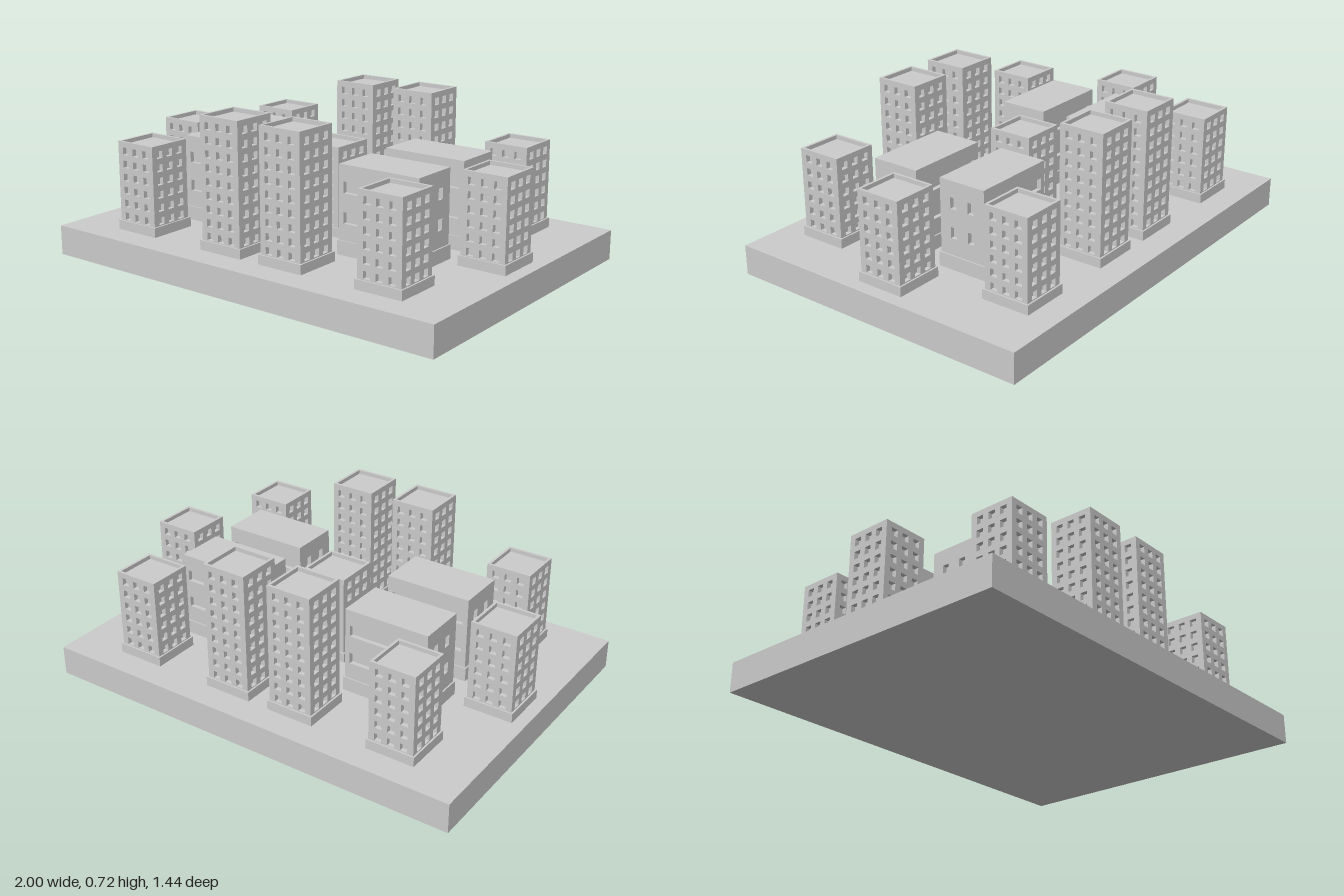
import * as THREE from 'three';

const material = new THREE.MeshStandardMaterial({ color: 0xcccccc, flatShading: true });
const GROUND = 0.135;

function add(parent, name, geometry, x = 0, y = 0, z = 0) {
  const mesh = new THREE.Mesh(geometry, material);
  mesh.name = name;
  mesh.position.set(x, y, z);
  parent.add(mesh);
  return mesh;
}

// box standing on height y0
function addBox(parent, name, w, y0, y1, d) {
  return add(parent, name, new THREE.BoxGeometry(w, y1 - y0, d), 0, (y0 + y1) / 2, 0);
}

function rectPath(Type, cx, cy, w, h) {
  const p = new Type();
  p.moveTo(cx - w / 2, cy - h / 2);
  p.lineTo(cx + w / 2, cy - h / 2);
  p.lineTo(cx + w / 2, cy + h / 2);
  p.lineTo(cx - w / 2, cy + h / 2);
  p.closePath();
  return p;
}

// wall panel with rectangular openings [cx, cy, w, h]; its outer face is at z = 0
function wallGeometry(width, y0, y1, openings, thickness) {
  const shape = rectPath(THREE.Shape, 0, (y0 + y1) / 2, width, y1 - y0);
  shape.holes = openings.map((o) => rectPath(THREE.Path, ...o));
  return new THREE.ExtrudeGeometry(shape, { depth: thickness, bevelEnabled: false })
    .translate(0, 0, -thickness);
}

// solid core wrapped in four pierced walls, giving recessed windows
function addWalls(parent, w, d, y0, y1, frontOpenings, sideOpenings, t) {
  addBox(parent, 'core', w - 2 * t, y0, y1, d - 2 * t);
  const front = wallGeometry(w, y0, y1, frontOpenings, t);
  const side = wallGeometry(d - 2 * t, y0, y1, sideOpenings, t);
  add(parent, 'frontWall', front, 0, 0, d / 2);
  add(parent, 'backWall', front, 0, 0, -d / 2).rotation.y = Math.PI;
  add(parent, 'leftWall', side, w / 2, 0, 0).rotation.y = Math.PI / 2;
  add(parent, 'rightWall', side, -w / 2, 0, 0).rotation.y = -Math.PI / 2;
}

// square tower with a window grid and a parapet round the roof
function createTower(floors) {
  const tower = new THREE.Group();
  const size = 0.208, base = 0.178, pitch = 0.06;
  const top = base + floors * pitch;
  const roof = top - 0.018;
  const windows = [];
  for (let row = 0; row < floors; row++) {
    for (const col of [-1, 0, 1]) windows.push([col * pitch, 0.199 + row * 0.0595, 0.033, 0.033]);
  }
  addBox(tower, 'plinth', 0.224, GROUND, base, 0.224);
  addWalls(tower, size, size, base, roof, windows, windows, 0.02);
  const ring = rectPath(THREE.Shape, 0, 0, size, size);
  ring.holes = [rectPath(THREE.Path, 0, 0, size - 0.024, size - 0.024)];
  const parapet = new THREE.ExtrudeGeometry(ring, { depth: top - roof, bevelEnabled: false });
  add(tower, 'parapet', parapet.rotateX(-Math.PI / 2), 0, roof, 0);
  return tower;
}

// long low block with ribbon windows front and back, small windows at the ends
function createBlock() {
  const block = new THREE.Group();
  const ribbons = [], endWindows = [];
  for (const y of [0.297, 0.428]) {
    ribbons.push([0, y, 0.35, 0.05]);
    for (const s of [-1, 1]) endWindows.push([s * 0.045, y, 0.031, 0.05]);
  }
  addBox(block, 'plinth', 0.41, GROUND, 0.198, 0.238);
  addWalls(block, 0.396, 0.226, 0.198, 0.526, ribbons, endWindows, 0.02);
  return block;
}

export function createModel() {
  const model = new THREE.Group();
  model.name = 'housingEstate';
  addBox(model, 'groundSlab', 2, 0, GROUND, 1.44);

  const place = (name, prototype, spots) => spots.forEach(([x, z]) => {
    const copy = prototype.clone();
    copy.name = name;
    copy.position.set(x, 0, z);
    model.add(copy);
  });

  place('tallTower', createTower(9), [
    [-0.17, -0.485], [0.153, -0.485], [-0.147, 0.483], [0.175, 0.483],
  ]);
  place('shortTower', createTower(6), [
    [-0.657, -0.485], [0.643, -0.485], [-0.64, 0.483], [0.663, 0.483],
    [-0.83, -0.002], [-0.003, -0.002], [0.827, -0.002],
  ]);
  place('lowBlock', createBlock(), [
    [-0.436, -0.174], [0.433, -0.174], [-0.425, 0.172], [0.441, 0.172],
  ]);
  return model;
}
